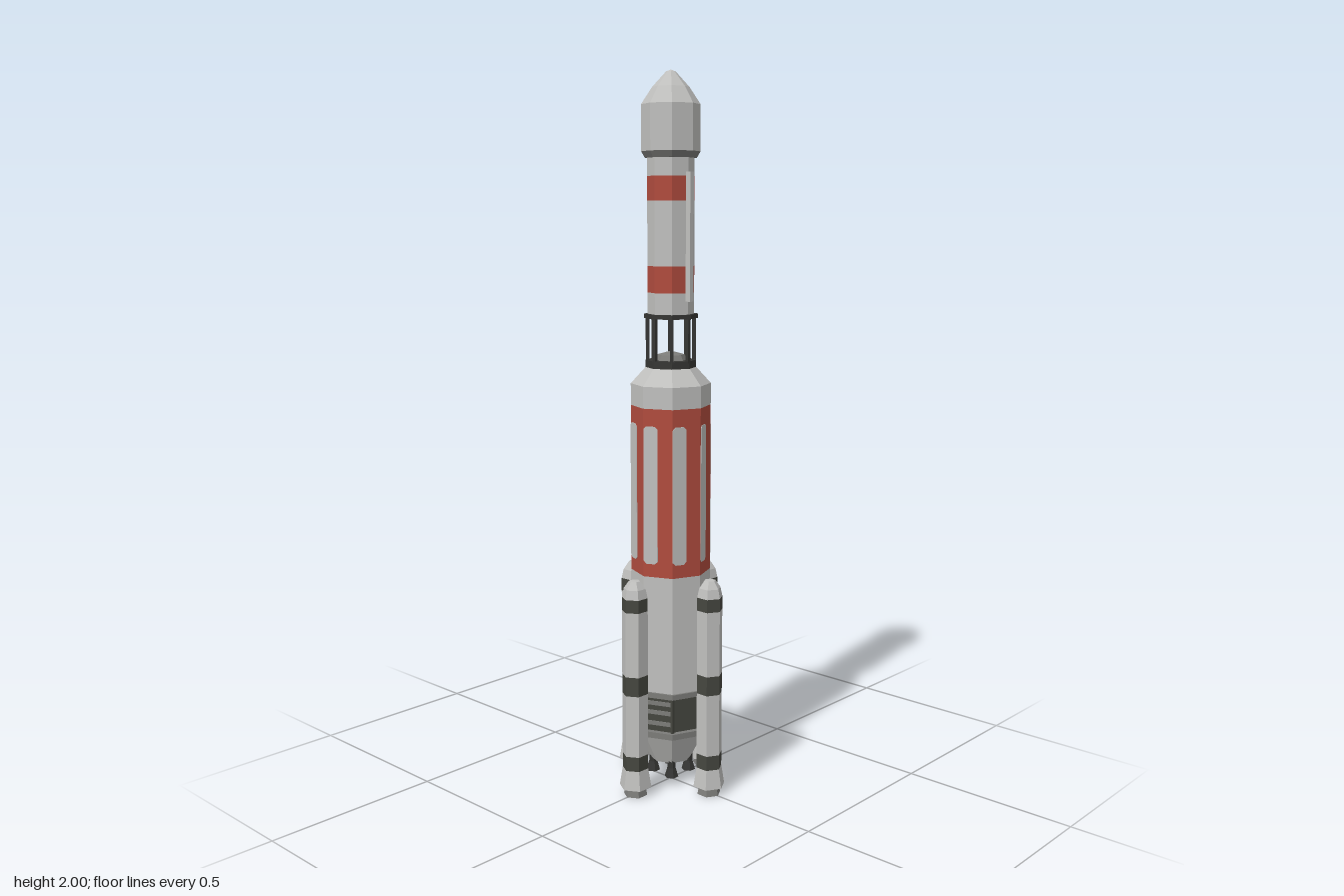
import * as THREE from 'three';

const mat = (name, color) => {
  const m = new THREE.MeshStandardMaterial({ color });
  m.name = name;
  return m;
};

export function createModel() {
  const rocket = new THREE.Group();
  rocket.name = 'rocket';
  const grey = mat('lightGrey', 0xc0c0be);
  const red = mat('red', 0xb04c3e);
  const dark = mat('charcoal', 0x45463f);
  const metal = mat('metalGrey', 0x7c7c79);
  const black = mat('nearBlack', 0x363634);

  const add = (parent, name, geo, material, x = 0, y = 0, z = 0) => {
    const mesh = new THREE.Mesh(geo, material);
    mesh.name = name;
    mesh.position.set(x, y, z);
    parent.add(mesh);
    return mesh;
  };
  // Faceted body of revolution from [radius, height] pairs, bottom to top
  const turned = (parent, name, profile, sides, material, x = 0, z = 0) => {
    const pts = profile.map(([r, y]) => new THREE.Vector2(r, y));
    const geo = new THREE.LatheGeometry(pts, sides).toNonIndexed();
    geo.computeVertexNormals();
    return add(parent, name, geo, material, x, 0, z);
  };
  const ring = (parent, name, r, y0, y1, sides, material, inner = 0) =>
    turned(parent, name, [[inner, y0], [r, y0], [r, y1], [inner, y1]], sides, material);

  // First stage core
  const core = new THREE.Group();
  core.name = 'coreStage';
  rocket.add(core);
  turned(core, 'engineCone', [[0, 0.07], [0.06, 0.07], [0.11, 0.17]], 8, grey);
  turned(core, 'lowerTank', [[0.1, 0.29], [0.111, 0.29], [0.111, 0.63]], 8, grey);
  turned(core, 'paintedTank', [[0.111, 0.63], [0.111, 1.1]], 8, red);
  turned(core, 'shoulder', [[0.111, 1.1], [0.111, 1.16], [0.07, 1.205], [0, 1.205]], 8, grey);

  // Grey panels with clipped corners, filling half of each painted face
  const w = 0.041, h = 0.385, c = 0.008;
  const panel = new THREE.Shape();
  panel.moveTo(c, 0).lineTo(w - c, 0).lineTo(w, c).lineTo(w, h - c)
    .lineTo(w - c, h).lineTo(c, h).lineTo(0, h - c).lineTo(0, c);
  const panelGeo = new THREE.ExtrudeGeometry(panel, { depth: 0.002, bevelEnabled: false });
  for (let k = 0; k < 8; k++) {
    const face = new THREE.Group();
    face.name = 'tankFace';
    face.rotation.y = (k + 0.5) * Math.PI / 4;
    core.add(face);
    add(face, 'greyPanel', panelGeo, grey, -0.0415, 0.667, 0.1022);
    // Lighter strips on the front and back bay faces
    if (k % 4 === 0 || k % 4 === 3) {
      for (const y of [0.203, 0.235, 0.262])
        add(face, 'bayStrip', new THREE.BoxGeometry(0.074, 0.012, 0.004), metal, 0, y, 0.0965);
    }
  }

  // Recessed equipment bay between two rings
  turned(core, 'equipmentBay', [[0.104, 0.17], [0.104, 0.29]], 8, dark);
  ring(core, 'lowerBayRing', 0.12, 0.163, 0.18, 8, metal);
  ring(core, 'upperBayRing', 0.117, 0.28, 0.295, 8, metal);
  for (let k = 0; k < 8; k++) {
    const a = k * Math.PI / 4;
    add(core, 'bayPost', new THREE.BoxGeometry(0.008, 0.11, 0.008), dark,
      0.108 * Math.sin(a), 0.23, 0.108 * Math.cos(a));
  }

  // Core engines
  for (const sx of [-1, 1]) for (const sz of [-1, 1]) {
    turned(core, 'coreEngine', [[0, 0.045], [0.02, 0.028], [0.012, 0.055], [0.012, 0.085]],
      6, black, sx * 0.036, sz * 0.036);
  }

  // Four side boosters
  for (let k = 0; k < 4; k++) {
    const booster = new THREE.Group();
    booster.name = 'booster';
    booster.rotation.y = k * Math.PI / 2;
    booster.position.set(0.147 * Math.sin(booster.rotation.y), 0, 0.147 * Math.cos(booster.rotation.y));
    rocket.add(booster);
    turned(booster, 'boosterNozzle', [[0, 0.02], [0.028, 0.001], [0.034, 0], [0.028, 0.03]], 6, metal);
    turned(booster, 'boosterSkirt', [[0.025, 0.025], [0.046, 0.025], [0.037, 0.08]], 6, grey);
    const marks = [0.08, 0.122, 0.3, 0.355, 0.54, 0.577];
    for (let i = 0; i < 5; i++) {
      turned(booster, i % 2 ? 'boosterTube' : 'boosterBand',
        [[0.037, marks[i]], [0.037, marks[i + 1]]], 6, i % 2 ? grey : dark);
    }
    turned(booster, 'boosterNose', [[0.037, 0.577], [0.031, 0.603], [0.016, 0.624], [0, 0.625]], 6, grey);
  }

  // Open interstage lattice
  const lattice = new THREE.Group();
  lattice.name = 'interstage';
  rocket.add(lattice);
  ring(lattice, 'lowerLatticeRing', 0.07, 1.203, 1.225, 8, black);
  ring(lattice, 'upperLatticeRing', 0.074, 1.34, 1.352, 8, black);
  turned(lattice, 'tankDome', [[0.045, 1.225], [0.038, 1.24], [0, 1.25]], 8, metal);
  for (let k = 0; k < 8; k++) {
    const a = k * Math.PI / 4;
    const strut = add(lattice, 'strut', new THREE.BoxGeometry(0.01, 0.125, 0.01), black,
      0.064 * Math.sin(a), 1.282, 0.064 * Math.cos(a));
    strut.rotation.y = a;
  }

  // Upper stage with two painted bands
  const upper = new THREE.Group();
  upper.name = 'upperStage';
  rocket.add(upper);
  const levels = [1.35, 1.41, 1.482, 1.657, 1.722, 1.775];
  for (let i = 0; i < 5; i++) {
    turned(upper, i % 2 ? 'redBand' : 'upperTank',
      [[0.064, levels[i]], [0.064, levels[i + 1]]], 8, i % 2 ? red : grey);
  }
  for (const s of [-1, 1])
    add(upper, 'cableDuct', new THREE.BoxGeometry(0.018, 0.345, 0.014), grey, s * 0.068, 1.56, 0);

  // Payload fairing
  turned(rocket, 'fairingBase', [[0.06, 1.77], [0.07, 1.77], [0.08, 1.787]], 8, metal);
  turned(rocket, 'fairing',
    [[0.08, 1.787], [0.08, 1.91], [0.05, 1.955], [0.013, 1.995], [0, 2]], 8, grey);
  return rocket;
}
